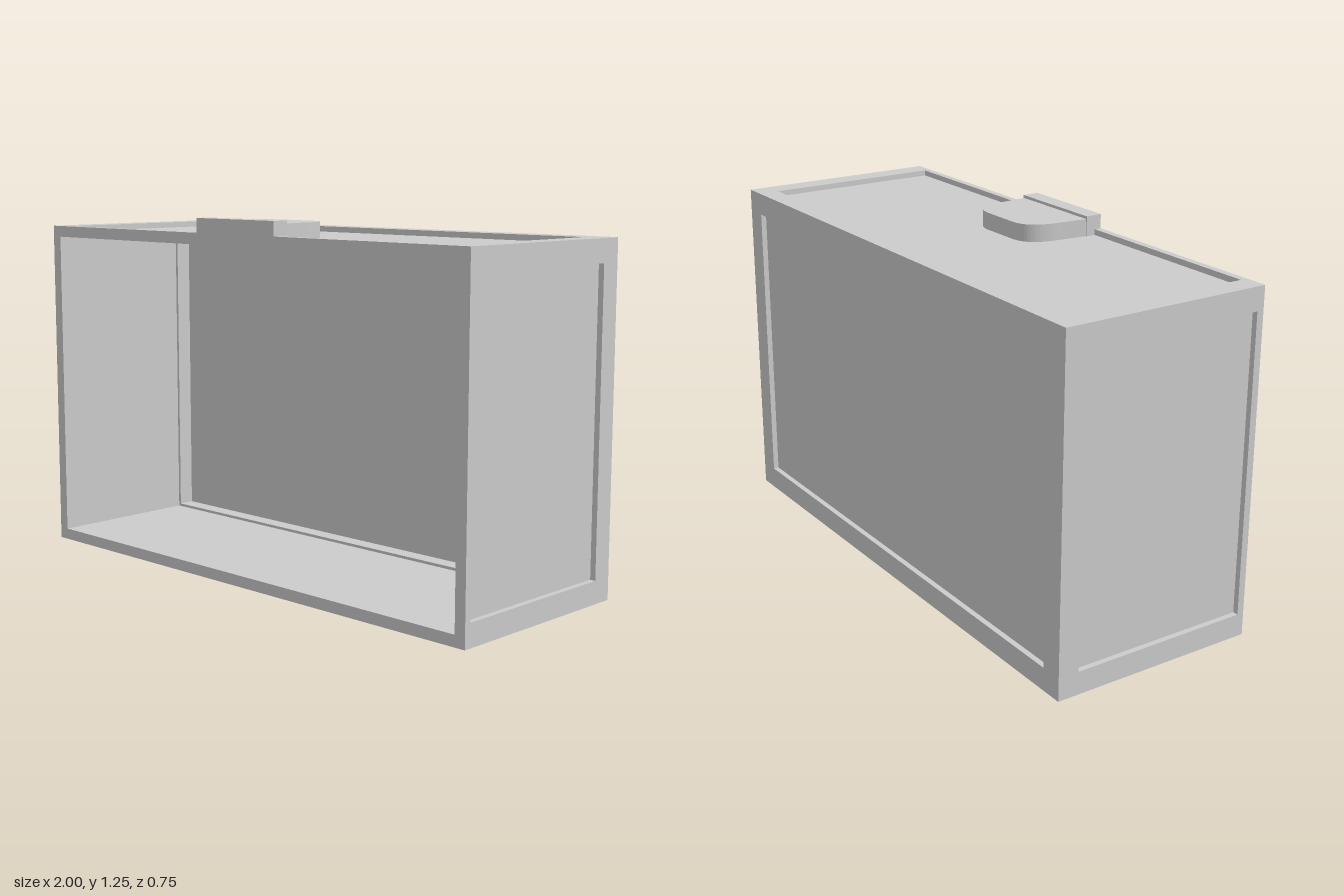
import * as THREE from 'three';

const grey = new THREE.MeshStandardMaterial({ color: 0xcccccc });

// Rectangle [x0, y0, x1, y1] as a closed path
function rect(PathType, [x0, y0, x1, y1]) {
  const p = new PathType();
  p.moveTo(x0, y0);
  p.lineTo(x1, y0);
  p.lineTo(x1, y1);
  p.lineTo(x0, y1);
  p.closePath();
  return p;
}

// Rectangular frame extruded along z from 0 to depth
function frame(outer, hole, depth) {
  const shape = rect(THREE.Shape, outer);
  shape.holes.push(rect(THREE.Path, hole));
  return new THREE.ExtrudeGeometry(shape, { depth, bevelEnabled: false });
}

export function createModel() {
  const group = new THREE.Group();
  const add = (name, geometry) => {
    const mesh = new THREE.Mesh(geometry, grey);
    mesh.name = name;
    group.add(mesh);
    return mesh;
  };

  const W = 1, H = 1.2, D = 0.375; // half width, height, half depth
  const rim = 0.08, recess = 0.02, lip = 0.025, wall = 0.04;
  const opening = [-W + wall, wall, W - wall, H - wall];

  // Inner shell: four walls around the open front
  add('shell', frame([-W + recess, recess, W - recess, H - recess], opening, 2 * D - recess - 0.01))
    .position.z = -D + recess;

  // Front rim around the opening
  add('frontRim', frame([-W, 0, W, H], opening, lip)).position.z = D - lip;

  // Back panel, sunk behind its rim
  add('backPanel', new THREE.BoxGeometry(2 * (W - wall), H - 2 * wall, 0.105))
    .position.set(0, H / 2, -0.3025);
  add('backRim', frame([-W, 0, W, H], [-W + rim, rim, W - rim, H - rim], recess)).position.z = -D;

  // Narrow ledge inside, in front of the back panel
  add('innerLedge', frame(opening, [-0.95, 0.05, 0.95, 1.15], 0.06)).position.z = -0.25;

  // Raised rims on the top and bottom
  const flat = frame([-W, -D, W, D], [-W + rim, -D + lip, W - rim, D - 0.075], recess);
  flat.rotateX(-Math.PI / 2); // shape y becomes -z
  add('topRim', flat).position.y = H - recess;
  add('bottomRim', flat);

  // Raised rims on both sides
  const side = frame([-D, 0, D, H], [-D + lip, rim, D - 0.075, H - rim], recess);
  side.rotateY(Math.PI / 2); // shape x becomes -z
  add('leftRim', side).position.x = W - recess;
  add('rightRim', side).position.x = -W;

  // Latch tab with rounded rear corners, lying on the top panel
  const tab = new THREE.Shape();
  tab.moveTo(-0.185, -0.325);
  tab.lineTo(0.185, -0.325);
  tab.lineTo(0.175, -0.22);
  tab.bezierCurveTo(0.17, -0.13, 0.14, -0.085, 0.07, -0.085);
  tab.lineTo(-0.07, -0.085);
  tab.bezierCurveTo(-0.14, -0.085, -0.17, -0.13, -0.175, -0.22);
  tab.closePath();
  const tabGeometry = new THREE.ExtrudeGeometry(tab, { depth: 0.06, bevelEnabled: false, curveSegments: 16 });
  tabGeometry.rotateX(-Math.PI / 2);
  add('latchTab', tabGeometry).position.y = H - recess;

  // Latch bar along the front edge
  add('latchBar', new THREE.BoxGeometry(0.375, 0.07, 0.06)).position.set(0, 1.215, D - 0.03);

  return group;
}
